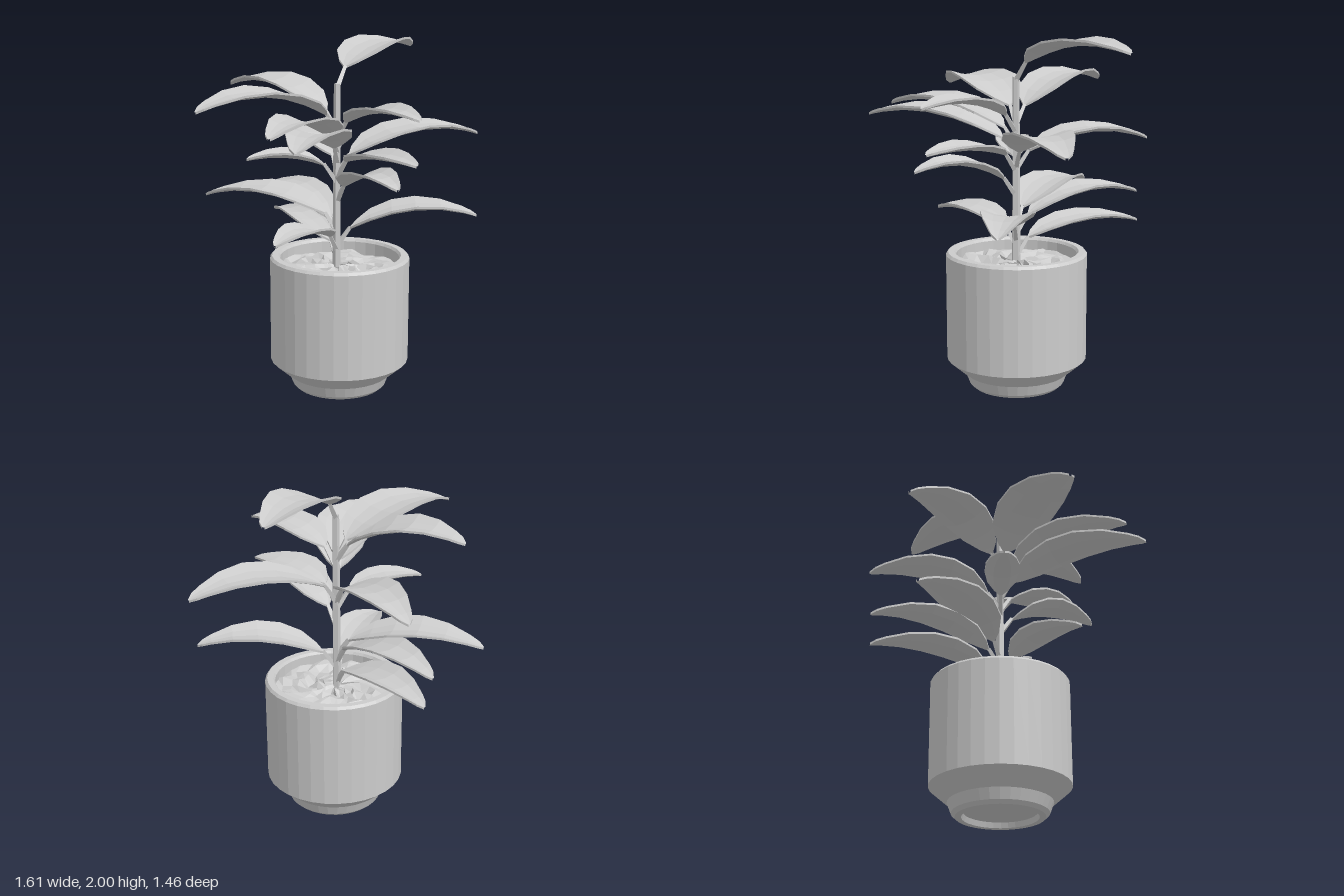
import * as THREE from 'three';

const mat = new THREE.MeshStandardMaterial({ color: 0xcccccc, flatShading: true });
const STEM = new THREE.Vector3(0.032, 0, 0.09);
const POT = new THREE.Vector3(0.045, 0, 0.1);

function add(parent, name, geometry) {
  const mesh = new THREE.Mesh(geometry, mat);
  mesh.name = name;
  parent.add(mesh);
  return mesh;
}

// Tapered rod between two points
function rod(a, b, r0, r1, sides) {
  const d = b.clone().sub(a);
  const g = new THREE.CylinderGeometry(r1, r0, d.length(), sides);
  g.applyQuaternion(new THREE.Quaternion().setFromUnitVectors(new THREE.Vector3(0, 1, 0), d.normalize()));
  const m = a.clone().add(b).multiplyScalar(0.5);
  return g.translate(m.x, m.y, m.z);
}

// Thin cupped blade lofted from closed cross-sections along an arched midline
const STEPS = [0, 0.05, 0.16, 0.33, 0.52, 0.72, 0.89, 0.96, 1];
const WIDTHS = [0.06, 0.4, 0.82, 1, 0.96, 0.72, 0.4, 0.24, 0.04];
const ACROSS = [-1, -0.5, 0, 0.5, 1];

function bladeGeometry(base, tip, peakY, halfWidth) {
  const side = new THREE.Vector3(tip.z - base.z, 0, base.x - tip.x).normalize();
  const control = (peakY - 0.16 * base.y - 0.36 * tip.y) / 0.48;
  const pos = [], index = [], n = ACROSS.length * 2;
  STEPS.forEach((t, i) => {
    const p = base.clone().lerp(tip, t);
    p.y = base.y * (1 - t) ** 2 + 2 * t * (1 - t) * control + tip.y * t * t;
    const w = WIDTHS[i] * halfWidth;
    const point = (v, drop) => pos.push(
      p.x + side.x * v * w,
      p.y + 0.035 * v * v * WIDTHS[i] - drop,
      p.z + side.z * v * w);
    ACROSS.forEach(v => point(v, 0));
    ACROSS.forEach(v => point(-v, 0.012));
  });
  for (let i = 0; i < STEPS.length - 1; i++) {
    for (let j = 0; j < n; j++) {
      const k = (j + 1) % n;
      const a = i * n + j, b = i * n + k, c = a + n, d = b + n;
      index.push(a, c, b, b, c, d);
    }
  }
  const g = new THREE.BufferGeometry();
  g.setAttribute('position', new THREE.Float32BufferAttribute(pos, 3));
  g.setIndex(index);
  g.computeVertexNormals();
  return g;
}

// Each leaf: tip x, y, z, blade base height, midline peak height, half width
const LEAVES = [
  [0.8, 1.93, 0.04, 1.86, 1.97, 0.16],
  [-0.8, 1.68, -0.19, 1.61, 1.745, 0.18],
  [-0.02, 1.72, -0.67, 1.61, 1.765, 0.16],
  [-0.06, 1.635, 0.71, 1.57, 1.66, 0.135],
  [-0.78, 1.59, 0.3, 1.49, 1.63, 0.15],
  [-0.78, 1.54, 0.47, 1.43, 1.575, 0.16],
  [0.8, 1.445, 0.53, 1.37, 1.5, 0.17],
  [0.43, 1.41, -0.58, 1.36, 1.465, 0.15],
  [-0.05, 1.39, 0.69, 1.35, 1.405, 0.13],
  [-0.35, 1.36, -0.25, 1.32, 1.375, 0.1],
  [-0.18, 1.28, 0.66, 1.21, 1.315, 0.13],
  [-0.19, 1.07, -0.73, 1.03, 1.13, 0.15],
  [0.3, 1.07, -0.66, 0.99, 1.115, 0.13],
  [0.51, 1.03, 0.72, 0.95, 1.075, 0.145],
  [-0.56, 0.97, 0.14, 0.92, 0.995, 0.12],
  [0.33, 0.905, -0.63, 0.86, 0.945, 0.13],
];

// Uneven soil surface: a disc with seeded height jitter
function soilGeometry() {
  let seed = 7;
  const rand = () => (seed = (seed * 16807) % 2147483647) / 2147483647;
  const g = new THREE.RingGeometry(0.005, 0.355, 28, 7).rotateX(-Math.PI / 2);
  const p = g.attributes.position, row = 29;
  for (let i = 0; i < p.count; i++) {
    if (i % row === row - 1) {
      const f = i - row + 1; // seam joins the first vertex of its row
      p.setXYZ(i, p.getX(f), p.getY(f), p.getZ(f));
    } else {
      const s = i < p.count - row ? 0.03 : 0;
      p.setXYZ(i, p.getX(i) + (rand() - 0.5) * s, 0.69 + rand() * 0.05, p.getZ(i) + (rand() - 0.5) * s);
    }
  }
  return g;
}

export function createModel() {
  const model = new THREE.Group();
  model.name = 'pottedPlant';

  // Pot with recessed foot, flared waist and chamfered rim
  const profile = [
    [0, 0.03], [0.205, 0.03], [0.215, 0], [0.25, 0], [0.272, 0.02], [0.295, 0.08],
    [0.32, 0.1], [0.4, 0.17], [0.4, 0.775], [0.388, 0.79], [0.352, 0.79],
    [0.342, 0.775], [0.342, 0.66],
  ].map(([r, y]) => new THREE.Vector2(r, y));
  add(model, 'pot', new THREE.LatheGeometry(profile, 32)).position.copy(POT);
  add(model, 'soil', soilGeometry()).position.copy(POT);

  // Main stem
  const at = y => STEM.clone().setY(y);
  add(model, 'stem', rod(at(0.66), at(1.77), 0.026, 0.02, 5));

  // Leaves with their stalks
  for (const [x, y, z, baseY, peakY, halfWidth] of LEAVES) {
    const leaf = new THREE.Group();
    leaf.name = 'leaf';
    const tip = new THREE.Vector3(x, y, z);
    const dir = tip.clone().sub(STEM).setY(0).normalize();
    const base = at(baseY).addScaledVector(dir, 0.075);
    add(leaf, 'leafStalk', rod(at(baseY - 0.11), base, 0.018, 0.013, 4));
    add(leaf, 'leafBlade', bladeGeometry(base, tip, peakY, halfWidth));
    model.add(leaf);
  }
  return model;
}
